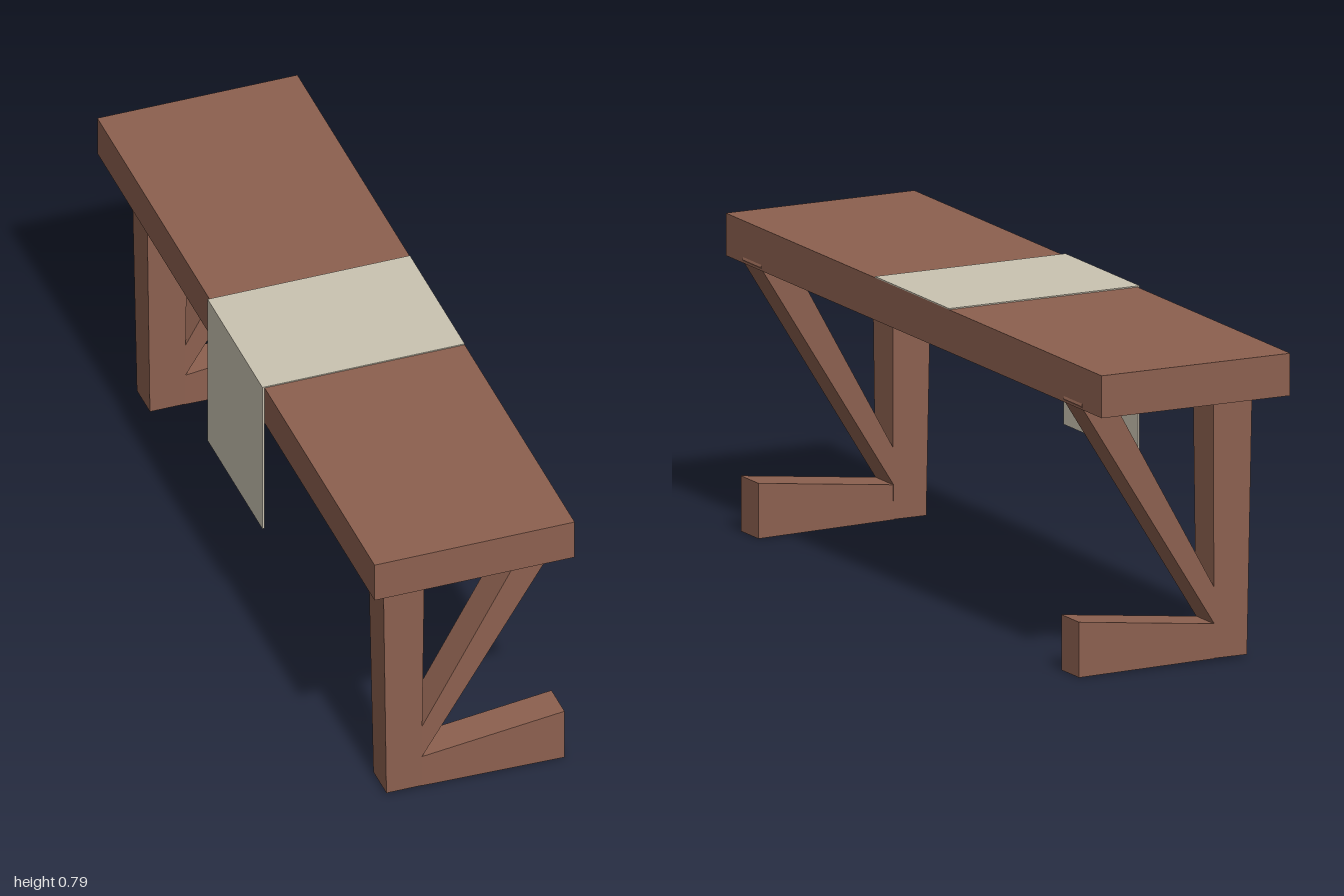
import * as THREE from 'three';

const wood = new THREE.MeshStandardMaterial({ color: 0x8c604f, flatShading: true });
const cloth = new THREE.MeshStandardMaterial({ color: 0xcac3b1, flatShading: true });

// Side profile in x/y, extruded along z and centred on z = 0
function plank(name, points, width) {
  const shape = new THREE.Shape(points.map(([x, y]) => new THREE.Vector2(x, y)));
  const geometry = new THREE.ExtrudeGeometry(shape, { depth: width, bevelEnabled: false });
  geometry.translate(0, 0, -width / 2);
  const mesh = new THREE.Mesh(geometry, wood);
  mesh.name = name;
  return mesh;
}

// Box given by its minimum and maximum corners
function box(name, min, max, material) {
  const size = max.map((v, i) => v - min[i]);
  const mesh = new THREE.Mesh(new THREE.BoxGeometry(...size), material);
  mesh.position.set(...max.map((v, i) => (v + min[i]) / 2));
  mesh.name = name;
  return mesh;
}

// Upright post, foot and diagonal brace
function makeLeg(z) {
  const leg = new THREE.Group();
  leg.name = 'leg';

  const post = plank('post', [[-0.2, 0.01], [-0.108, 0.01], [-0.102, 0.69], [-0.211, 0.69]], 0.094);
  // The post widens slightly towards the top
  const p = post.geometry.attributes.position;
  for (let i = 0; i < p.count; i++) p.setZ(i, p.getZ(i) * (1 + 0.22 * p.getY(i)));
  post.geometry.computeVertexNormals();

  const foot = plank('foot', [[-0.108, 0.009], [0.27, 0.002], [0.27, 0.143], [-0.108, 0.098]], 0.094);
  const brace = plank('brace', [[-0.108, 0.098], [0.265, 0.692], [0.261, 0.7], [0.178, 0.7], [-0.108, 0.19]], 0.098);
  leg.add(post, foot, brace);
  leg.position.z = z;
  return leg;
}

export function createModel() {
  const group = new THREE.Group();
  group.name = 'bench';

  group.add(box('tableTop', [-0.266, 0.683, -1], [0.262, 0.791, 1], wood));
  for (const z of [0.858, -0.848]) group.add(makeLeg(z));

  // Cloth runner lying across the top and hanging over one edge
  const runner = new THREE.Group();
  runner.name = 'runner';
  runner.add(
    box('runnerTop', [-0.272, 0.791, -0.188], [0.262, 0.794, 0.207], cloth),
    box('runnerDrape', [-0.272, 0.36, -0.188], [-0.2665, 0.791, 0.207], cloth)
  );
  group.add(runner);
  return group;
}
